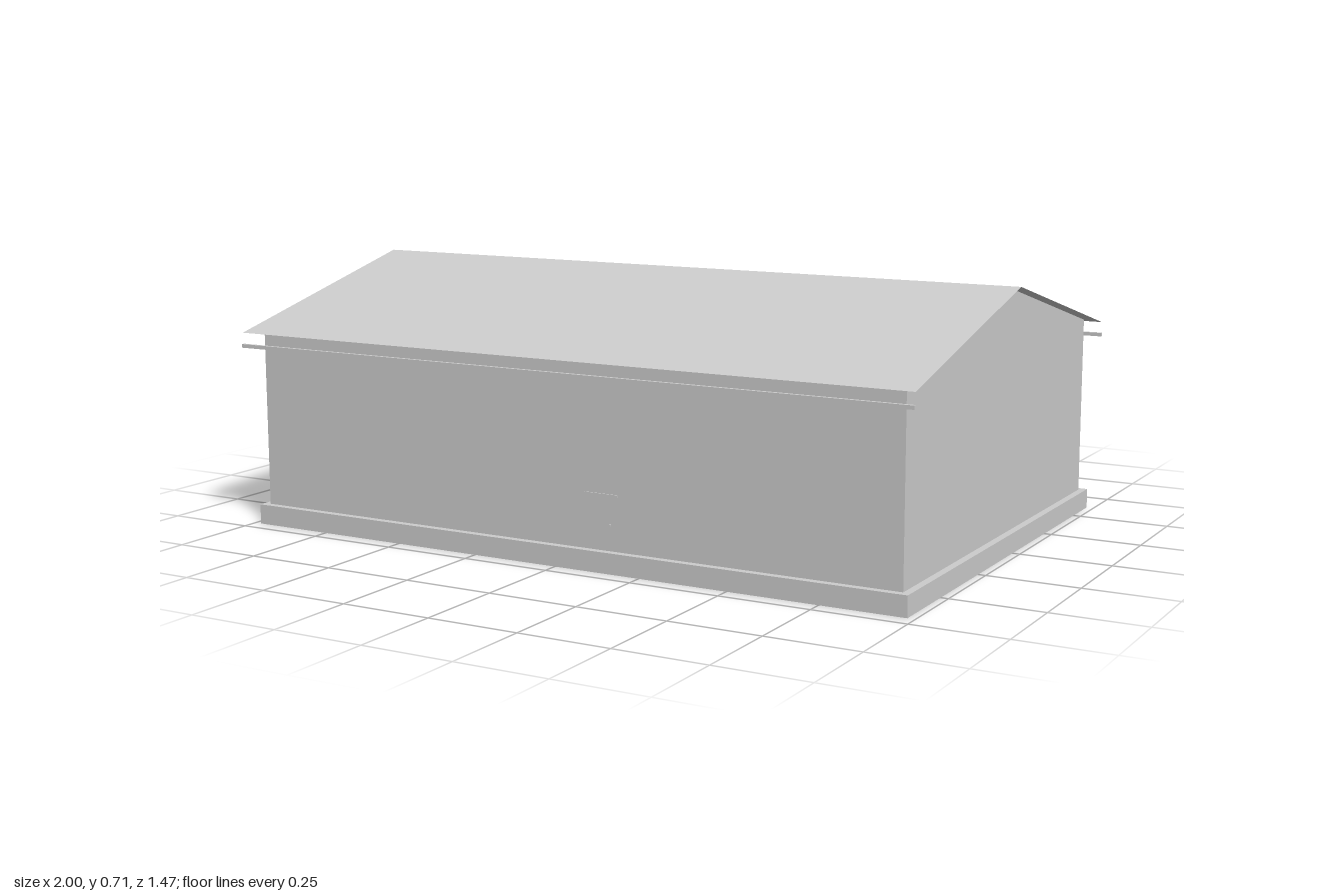
import * as THREE from 'three';

// Main dimensions
const FRONT = 0.686, BACK = -0.597, RIDGE_Z = 0.046, RIDGE_Y = 0.712;
const WALL_X = 0.96, ROOF_X = 1, BASE_Y = 0.055, WALL = 0.05;
const EAVE_RUN = 0.684, PITCH = 0.25;
const DOOR = { left: 0.32, right: -0.06, top: 0.385 };
const roofY = (z) => RIDGE_Y - Math.abs(z - RIDGE_Z) * PITCH;

export function createModel() {
  const model = new THREE.Group();
  model.name = 'barn';
  const grey = new THREE.MeshStandardMaterial({ color: 0xcccccc, side: THREE.DoubleSide });
  grey.name = 'light grey';

  const add = (name, geometry) => {
    const mesh = new THREE.Mesh(geometry, grey);
    mesh.name = name;
    model.add(mesh);
    return mesh;
  };
  // Box given by its limits on each axis
  const box = (name, x0, x1, y0, y1, z0, z1) => {
    const mesh = add(name, new THREE.BoxGeometry(x1 - x0, y1 - y0, z1 - z0));
    mesh.position.set((x0 + x1) / 2, (y0 + y1) / 2, (z0 + z1) / 2);
    return mesh;
  };
  const polygon = (points) => new THREE.Shape(points.map(([x, y]) => new THREE.Vector2(x, y)));
  // Profile drawn in (z, y), extruded along x from x0 to x1
  const alongX = (name, points, x0, x1) => {
    const shape = polygon(points.map(([z, y]) => [-z, y]));
    const geometry = new THREE.ExtrudeGeometry(shape, { depth: x1 - x0, bevelEnabled: false });
    geometry.rotateY(Math.PI / 2).translate(x0, 0, 0);
    return add(name, geometry);
  };

  // Foundation slab, its top is the floor
  box('foundation', -0.98, 0.98, 0, BASE_Y, BACK - 0.02, FRONT + 0.02);

  // Gable walls
  const gable = [
    [FRONT, BASE_Y], [FRONT, roofY(FRONT)], [RIDGE_Z, RIDGE_Y],
    [BACK, roofY(BACK)], [BACK, BASE_Y],
  ];
  alongX('leftGable', gable, WALL_X - WALL, WALL_X);
  alongX('rightGable', gable, -WALL_X, -WALL_X + WALL);

  // Closed front wall
  const inner = WALL_X - WALL;
  box('frontWall', -inner, inner, BASE_Y, roofY(FRONT), FRONT - WALL, FRONT);

  // Back wall around the doorway
  const top = roofY(BACK);
  const backShape = polygon([
    [-inner, BASE_Y], [DOOR.right, BASE_Y], [DOOR.right, DOOR.top], [DOOR.left, DOOR.top],
    [DOOR.left, BASE_Y], [inner, BASE_Y], [inner, top], [-inner, top],
  ]);
  add('backWall', new THREE.ExtrudeGeometry(backShape, { depth: WALL, bevelEnabled: false }))
    .position.z = BACK;

  // Two thin roof sheets meeting at the ridge
  for (const [name, side] of [['frontRoof', 1], ['backRoof', -1]]) {
    const length = EAVE_RUN * Math.hypot(1, PITCH);
    const sheet = new THREE.PlaneGeometry(ROOF_X * 2, length);
    sheet.rotateX(-Math.PI / 2).translate(0, 0, side * length / 2);
    sheet.rotateX(side * Math.atan(PITCH));
    add(name, sheet).position.set(0, RIDGE_Y + 0.001, RIDGE_Z);
  }

  // Slim rails below the eaves
  for (const [name, side] of [['frontEaveRail', 1], ['backEaveRail', -1]]) {
    const z = RIDGE_Z + side * EAVE_RUN;
    box(name, -ROOF_X, ROOF_X, 0.501, 0.511, z - 0.005, z + 0.005);
  }

  // Doorway: track cover, side trims and loading ramp
  box('doorHood', DOOR.right - 0.01, DOOR.left + 0.01, 0.38, 0.416, BACK - 0.034, BACK);
  for (const [name, x] of [['leftDoorTrim', DOOR.left], ['rightDoorTrim', DOOR.right - 0.01]])
    box(name, x, x + 0.01, BASE_Y, 0.38, BACK - 0.005, BACK);
  alongX('ramp', [[BACK - 0.02, 0.054], [BACK - 0.138, 0.031], [BACK - 0.02, 0.031]], -0.13, 0.38);

  // Post and rails inside the doorway
  box('innerPost', -0.008, 0.008, BASE_Y, DOOR.top, BACK + 0.02, BACK + 0.036);
  for (const x of [0, 0.2])
    box('innerRail', x - 0.006, x + 0.006, 0.265, 0.277, BACK + 0.03, BACK + 0.3);

  // Small fittings on the front wall
  box('wallStrip', 0.08, 0.18, 0.197, 0.203, FRONT, FRONT + 0.003);
  box('wallStud', 0.15, 0.158, 0.12, 0.126, FRONT, FRONT + 0.003);

  return model;
}
